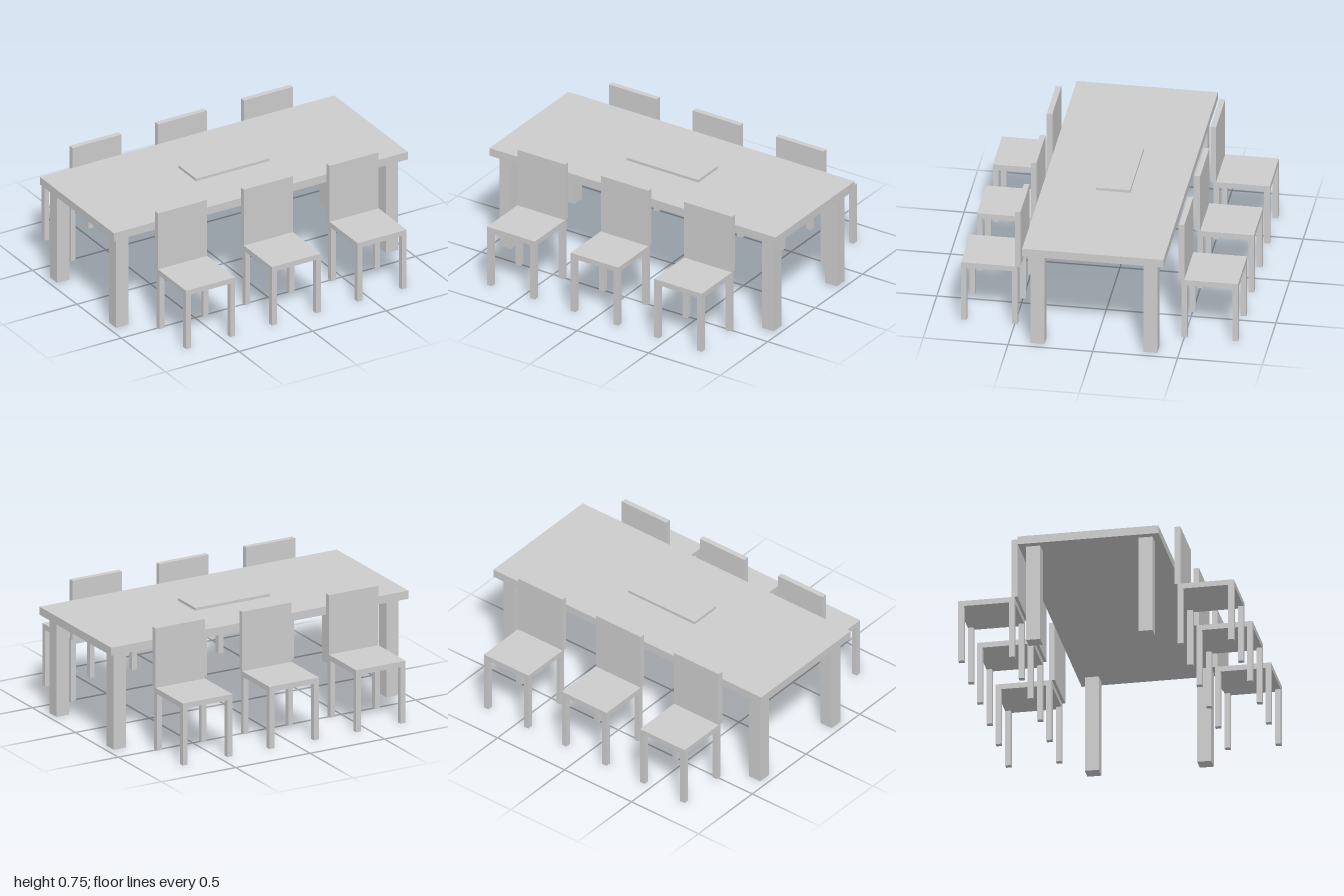
import * as THREE from 'three';

const grey = new THREE.MeshStandardMaterial({ color: 0xcccccc });
grey.name = 'light grey';

// Box with its centre at x, z and its underside at y
function box(parent, name, [w, h, d], [x, y, z]) {
  const mesh = new THREE.Mesh(new THREE.BoxGeometry(w, h, d), grey);
  mesh.name = name;
  mesh.position.set(x, y + h / 2, z);
  parent.add(mesh);
}

// Four square legs placed symmetrically
function legs(parent, name, size, height, dx, dz) {
  for (const sx of [-1, 1])
    for (const sz of [-1, 1])
      box(parent, name, [size, height, size], [sx * dx, 0, sz * dz]);
}

function createTable() {
  const table = new THREE.Group();
  table.name = 'table';
  box(table, 'tableTop', [2, 0.05, 0.833], [0, 0.6, 0]);
  legs(table, 'tableLeg', 0.083, 0.6, 0.917, 0.333);
  box(table, 'centrePanel', [0.5, 0.017, 0.2], [0, 0.65, 0]);
  return table;
}

// Chair centred on its seat, with the backrest towards -z
function createChair() {
  const chair = new THREE.Group();
  chair.name = 'chair';
  box(chair, 'seat', [0.333, 0.033, 0.333], [0, 0.35, 0]);
  box(chair, 'backrest', [0.333, 0.367, 0.033], [0, 0.383, -0.167]);
  legs(chair, 'chairLeg', 0.033, 0.35, 0.15, 0.15);
  return chair;
}

export function createModel() {
  const model = new THREE.Group();
  model.name = 'diningSet';
  model.add(createTable());

  // Three chairs along each long side, backrests next to the table
  for (const side of [1, -1]) {
    for (const x of [-0.583, 0, 0.583]) {
      const chair = createChair();
      chair.position.set(x, 0, side * 0.65);
      if (side < 0) chair.rotation.y = Math.PI;
      model.add(chair);
    }
  }
  return model;
}
